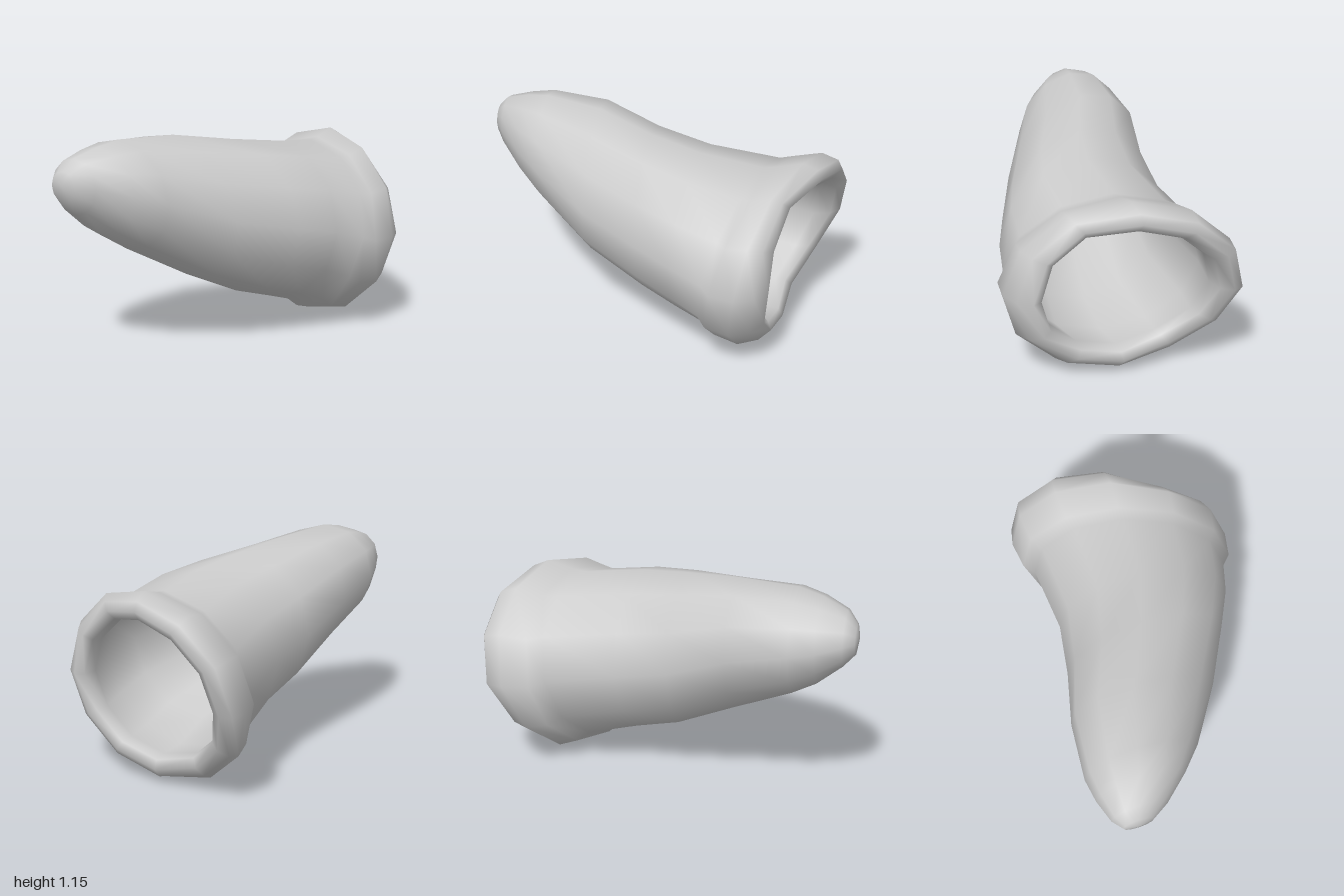
import * as THREE from 'three';
import { mergeVertices } from 'three/addons/utils/BufferGeometryUtils.js';

const SIDES = 12;

// Cross-sections: [z, xMin, xMax, yMin, yMax, skew, tilt, wave]
// skew leans the oval to the upper left, tilt (0..1) turns it to the slanted mouth,
// wave (0..1) pulls the upper right and lower left of the lip forward.
const OUTER = [
  [1.0, -0.42, -0.42, 0.95, 0.95, 0, 0, 0],
  [0.985, -0.5, -0.34, 0.86, 1.02, 0, 0, 0],
  [0.93, -0.545, -0.25, 0.79, 1.08, 0, 0, 0],
  [0.8, -0.585, -0.11, 0.665, 1.125, 0.02, 0, 0],
  [0.67, -0.605, 0.005, 0.575, 1.15, 0.05, 0, 0],
  [0.35, -0.58, 0.21, 0.385, 1.14, 0.11, 0, 0],
  [0.03, -0.505, 0.375, 0.235, 1.085, 0.03, 0, 0],
  [-0.22, -0.46, 0.475, 0.165, 1.045, 0, 0.35, 0],
  [-0.5, -0.49, 0.53, 0.09, 1.0, 0, 1, 0],
];

// Rolled rim, from the neck round to the inside of the mouth
const RIM = [
  [-0.56, -0.54, 0.58, 0.04, 1.01, 0, 1, 0],
  [-0.7, -0.56, 0.605, 0.0, 1.045, 0, 1, 0.4],
  [-0.8, -0.54, 0.57, 0.035, 1.01, 0, 1, 0.9],
  [-0.845, -0.48, 0.505, 0.09, 0.965, 0, 1, 1],
  [-0.81, -0.425, 0.455, 0.135, 0.915, 0, 1, 1],
  [-0.72, -0.41, 0.44, 0.145, 0.9, 0, 1, 0.6],
];

// Hollow inside, following the body with a wall thickness
const WALL = 0.045;
const INNER = OUTER.slice(3).reverse().map(([z, x0, x1, y0, y1, ...lean]) =>
  [z - 0.03, x0 + WALL, x1 - WALL, y0 + WALL, y1 - WALL, ...lean]);
INNER.push([0.88, -0.4, -0.4, 0.93, 0.93, 0, 0, 0]);

// Skin a row of cross-sections into one smooth surface
function loft(sections) {
  const positions = [];
  const index = [];
  for (const [z, x0, x1, y0, y1, skew, tilt, wave] of sections) {
    const cx = (x0 + x1) / 2, cy = (y0 + y1) / 2;
    for (let j = 0; j < SIDES; j++) {
      const a = (j / SIDES) * Math.PI * 2;
      const dx = ((x1 - x0) / 2) * Math.cos(a + skew);
      const dy = ((y1 - y0) / 2) * Math.sin(a - skew);
      const dip = 0.09 * wave * Math.cos(a - 0.92) ** 6;
      positions.push(cx + dx, cy + dy, z + tilt * (0.28 * dx - 0.2 * dy) + dip);
    }
  }
  for (let i = 0; i < sections.length - 1; i++) {
    for (let j = 0; j < SIDES; j++) {
      const k = (j + 1) % SIDES;
      const a = i * SIDES + j, b = i * SIDES + k;
      const c = a + SIDES, d = b + SIDES;
      index.push(a, c, b, b, c, d);
    }
  }
  let geometry = new THREE.BufferGeometry();
  geometry.setAttribute('position', new THREE.Float32BufferAttribute(positions, 3));
  geometry.setIndex(index);
  geometry = mergeVertices(geometry, 1e-4); // close the pointed ends
  geometry.computeVertexNormals();
  return geometry;
}

export function createModel() {
  const group = new THREE.Group();
  group.name = 'hollowHorn';
  const material = new THREE.MeshStandardMaterial({ color: 0xcccccc, roughness: 0.8 });

  // Tapered body, rolled rim and hollow in one continuous skin
  const shell = new THREE.Mesh(loft([...OUTER, ...RIM, ...INNER]), material);
  shell.name = 'hornShell';
  group.add(shell);
  return group;
}
